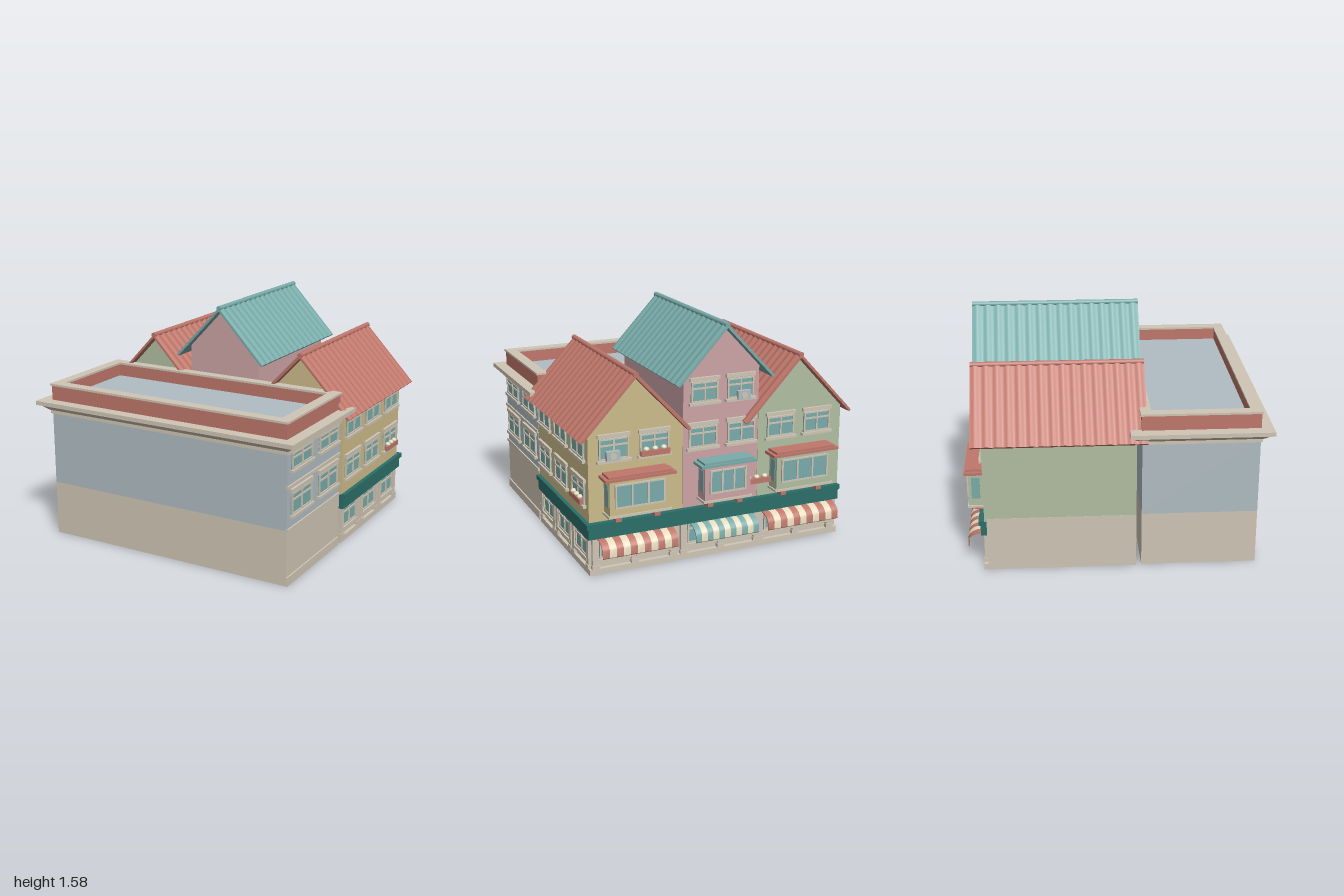
import * as THREE from 'three';
import { toCreasedNormals } from 'three/addons/utils/BufferGeometryUtils.js';

const mat = (name, color) => Object.assign(new THREE.MeshStandardMaterial({ color }), { name });
const M = {
  stone: mat('stone', 0xcfc6b5), blue: mat('blueWall', 0xb0bdc3), yellow: mat('yellowWall', 0xcdbc8a),
  pink: mat('pinkWall', 0xcda4a6), green: mat('greenWall', 0xb2bea2), red: mat('red', 0xc0776b),
  teal: mat('teal', 0x79acaa), dark: mat('darkTeal', 0x2b6f69), cream: mat('cream', 0xe6dcc0),
};

function add(parent, name, geo, material, x = 0, y = 0, z = 0) {
  const m = new THREE.Mesh(geo, material);
  m.name = name;
  m.position.set(x, y, z);
  parent.add(m);
  return m;
}
// Box given by its two extreme corners
function box(parent, name, material, x0, x1, y0, y1, z0, z1) {
  return add(parent, name, new THREE.BoxGeometry(x1 - x0, y1 - y0, z1 - z0), material,
    (x0 + x1) / 2, (y0 + y1) / 2, (z0 + z1) / 2);
}
function group(parent, name, x = 0, y = 0, z = 0) {
  const g = new THREE.Group();
  g.name = name;
  g.position.set(x, y, z);
  parent.add(g);
  return g;
}
const polygon = (points) => new THREE.Shape(points.map((p) => new THREE.Vector2(...p)));
const extrude = (shape, depth) => new THREE.ExtrudeGeometry(shape, { depth, bevelEnabled: false });

// Double sash window standing on a wall that faces local +z
function windowUnit(parent, x, y0, w, h, lintel = true) {
  const g = group(parent, 'window', x, y0), a = w / 2, t = 0.0055;
  box(g, 'glass', M.teal, -a, a, 0, h, 0, 0.006);
  for (const bx of [-a + t, 0, a - t]) box(g, 'frameBar', M.stone, bx - t, bx + t, 0, h, 0, 0.014);
  for (const by of [t, h * 0.68, h - t]) box(g, 'frameRail', M.stone, -a, a, by - t, by + t, 0, 0.013);
  box(g, 'sill', M.stone, -a - 0.015, a + 0.015, -0.018, 0, 0, 0.024);
  if (lintel) box(g, 'lintel', M.stone, -a - 0.01, a + 0.01, h + 0.006, h + 0.03, 0, 0.018);
}

function flowerBox(parent, x, y) {
  const g = group(parent, 'flowerBox', x, y);
  box(g, 'planter', M.red, -0.1, 0.1, -0.012, 0.022, 0, 0.035);
  for (const fx of [-0.06, 0, 0.06])
    add(g, 'flowers', new THREE.SphereGeometry(0.02, 10, 8), M.cream, fx, 0.03, 0.018).scale.y = 0.8;
}

function airConditioner(parent, x, y) {
  const g = group(parent, 'airConditioner', x, y);
  box(g, 'casing', M.blue, -0.045, 0.045, 0, 0.06, 0, 0.035);
  const fan = add(g, 'fan', new THREE.CylinderGeometry(0.022, 0.022, 0.006, 16), M.stone, 0, 0.03, 0.036);
  fan.rotation.x = Math.PI / 2;
}

// Projecting bay with glazing, roof slab and brackets
function bay(parent, x, half, wall, roof) {
  const g = group(parent, 'bayWindow', x), inner = half - 0.04;
  box(g, 'bayBody', wall, -half, half, 0.41, 0.66, 0, 0.1);
  box(g, 'bayGlass', M.teal, -inner, inner, 0.47, 0.62, 0.1, 0.105);
  for (const k of [-1, -1 / 3, 1 / 3, 1])
    box(g, 'bayMullion', M.stone, k * inner - 0.006, k * inner + 0.006, 0.465, 0.625, 0.1, 0.111);
  for (const y of [0.465, 0.615]) box(g, 'bayRail', M.stone, -inner, inner, y, y + 0.011, 0.1, 0.11);
  box(g, 'baySill', M.stone, -half - 0.01, half + 0.01, 0.405, 0.42, 0, 0.108);
  box(g, 'bayEave', roof, -half - 0.035, half + 0.035, 0.65, 0.668, 0, 0.124);
  box(g, 'bayRoof', roof, -half - 0.01, half + 0.01, 0.668, 0.682, 0, 0.115);
  for (const s of [-1, 1]) {
    box(g, 'baySideGlass', M.teal, s * half - 0.004, s * half + 0.004, 0.47, 0.62, 0.025, 0.08);
    box(g, 'bracket', M.red, s * half * 0.65 - 0.02, s * half * 0.65 + 0.02, 0.362, 0.408, 0, 0.07);
  }
}

// Striped curved awning with a hanging valance
function awning(parent, x, width, color) {
  const g = group(parent, 'awning', x), top = [], n = 11, w = width / n;
  for (let a = 0; a < 1.4; a += 0.17) top.push([0.015 + 0.1 * Math.sin(a), 0.185 + 0.065 * Math.cos(a)]);
  top.push([0.115, 0.15]);
  const under = top.map(([px, py]) => [px - 0.005, py - 0.006]).reverse();
  const geo = toCreasedNormals(extrude(polygon([...top, ...under]), w), 0.6);
  for (let i = 0; i < n; i++)
    add(g, 'awningStripe', geo, i % 2 ? M.cream : color, w * (i + 1) - width / 2).rotation.y = -Math.PI / 2;
}

// Corrugated gable roof: wavy slabs run from the ridge to the eaves
const SLOPE = 1.06, L = Math.hypot(1, SLOPE), Z0 = -0.945, Z1 = 0.19;
function gableRoof(parent, c, apex, half, color) {
  const g = group(parent, 'roof'), len = Z1 - Z0, mid = (Z0 + Z1) / 2, waves = 16, steps = waves * 6;
  const pts = [[-len / 2, 0], [len / 2, 0]];
  for (let i = 0; i <= steps; i++)
    pts.push([len / 2 - (len * i) / steps, 0.02 - 0.005 * Math.cos((i / steps) * waves * 2 * Math.PI)]);
  const geo = toCreasedNormals(extrude(polygon(pts), half * L - 0.005), 0.8);
  for (const s of [-1, 1]) {
    const down = new THREE.Vector3(s / L, -SLOPE / L, 0), normal = new THREE.Vector3((s * SLOPE) / L, 1 / L, 0);
    const along = new THREE.Vector3().crossVectors(normal, down);
    add(g, 'roofSlope', geo, color, c, apex - 0.035, mid)
      .quaternion.setFromRotationMatrix(new THREE.Matrix4().makeBasis(along, normal, down));
  }
  const ridge = add(g, 'ridgeRoll', new THREE.CylinderGeometry(0.018, 0.018, len, 12), color, c, apex - 0.016, mid);
  ridge.rotation.x = Math.PI / 2;
}

function house(parent, name, x0, x1, c, apex, roofHalf, wall, roofColor) {
  const g = group(parent, name), top = (x) => apex - 0.032 - SLOPE * Math.abs(x - c);
  const gable = polygon([[x0, 0.355], [x1, 0.355], [x1, top(x1)], [c, top(c)], [x0, top(x0)]]);
  add(g, 'houseWalls', extrude(gable, 0.995), wall, 0, 0, -0.875);
  gableRoof(g, c, apex, roofHalf, roofColor);
}

// Cornice underside: a slab whose lower rim is drawn in
function flaredSlab(parent, name, material, inset, ...corners) {
  const { geometry } = box(parent, name, material, ...corners), p = geometry.attributes.position;
  for (let i = 0; i < p.count; i++)
    if (p.getY(i) < 0) {
      p.setX(i, p.getX(i) - Math.sign(p.getX(i)) * inset);
      p.setZ(i, p.getZ(i) - Math.sign(p.getZ(i)) * inset);
    }
  geometry.computeVertexNormals();
}

// Rectangular parapet course, widened on both faces by o
function parapetRing(parent, name, m, o, y0, y1) {
  const a = -0.9 - o, b = 0.895 + o;
  box(parent, name, m, a, b, y0, y1, 0.86 - o, 0.92 + o);
  box(parent, name, m, a, b, y0, y1, 0.15 - o, 0.205 + o);
  box(parent, name, m, a, -0.845 + o, y0, y1, 0.2, 0.865);
  box(parent, name, m, 0.835 - o, b, y0, y1, 0.2, 0.865);
}

function pillar(f, x) {
  box(f, 'pillar', M.stone, x - 0.02, x + 0.02, 0.04, 0.25, 0, 0.022);
  box(f, 'pillarFoot', M.stone, x - 0.025, x + 0.025, 0.04, 0.065, 0, 0.026);
}

export function createModel() {
  const model = new THREE.Group();
  model.name = 'townBuilding';

  // Flat-roofed block
  const block = group(model, 'flatRoofBlock');
  box(block, 'blockBase', M.stone, -0.9, 0.9, 0, 0.375, 0.155, 0.92);
  box(block, 'blockWalls', M.blue, -0.9, 0.9, 0.375, 0.9, 0.155, 0.92);
  box(block, 'corniceBand', M.stone, -0.91, 0.91, 0.875, 0.9, 0.145, 0.93);
  flaredSlab(block, 'corniceFlare', M.stone, 0.05, -0.965, 0.96, 0.9, 0.942, 0.085, 0.985);
  box(block, 'cornice', M.stone, -0.98, 0.975, 0.942, 0.97, 0.075, 1);
  box(block, 'flatRoof', M.blue, -0.86, 0.85, 0.965, 0.985, 0.18, 0.88);
  parapetRing(block, 'parapet', M.red, 0, 0.965, 1.07);
  parapetRing(block, 'parapetCap', M.stone, 0.008, 1.07, 1.084);
  for (const [y0, y1] of [[0, 0.06], [0.365, 0.385], [0.65, 0.67]])
    box(block, 'sideBand', M.stone, 0.89, 0.91, y0, y1, 0.158, 0.922);

  // Three gabled houses
  house(model, 'yellowHouse', 0.262, 0.908, 0.608, 1.32, 0.365, M.yellow, M.red);
  house(model, 'pinkHouse', -0.28, 0.26, -0.015, 1.575, 0.335, M.pink, M.teal);
  house(model, 'greenHouse', -0.91, -0.282, -0.553, 1.33, 0.388, M.green, M.red);

  // Shop storey shared by the houses
  const shop = group(model, 'shopStorey');
  box(shop, 'shopCore', M.stone, -0.911, 0.89, 0, 0.375, -0.86, 0.12);
  box(shop, 'plinth', M.stone, -0.91, 0.912, 0, 0.04, -0.888, 0.119);
  box(shop, 'fascia', M.dark, -0.905, 0.922, 0.25, 0.33, -0.9, 0.118);
  box(shop, 'fasciaLip', M.dark, -0.909, 0.935, 0.325, 0.357, -0.912, 0.117);

  // Facades in local frames: x along the wall, z outward
  const facade = (name, x, z, turn) => {
    const g = group(model, name, x, 0, z);
    g.rotation.y = turn;
    return g;
  };

  // Side facades: local x is -z
  const side = facade('sideFacade', 0.908, 0, Math.PI / 2);
  const sideShop = facade('sideShopFront', 0.89, 0, Math.PI / 2);
  for (const x of [0.04, 0.37, 0.705]) {
    for (const y of [0.46, 0.76]) windowUnit(side, x, y, 0.235, 0.142);
    windowUnit(sideShop, x, 0.1, 0.225, 0.15, false);
    for (const s of [-1, 1]) pillar(sideShop, x + s * 0.135);
  }
  flowerBox(side, 0.705, 0.47);
  const sideBlock = facade('blockSideFacade', 0.9, 0, Math.PI / 2);
  for (const x of [-0.73, -0.34]) {
    windowUnit(sideBlock, x, 0.465, 0.28, 0.145);
    windowUnit(sideBlock, x, 0.765, 0.28, 0.11, false);
  }

  // Street facade: local x is -x
  const street = facade('streetFacade', 0, -0.875, Math.PI);
  const streetShop = facade('streetShopFront', 0, -0.86, Math.PI);
  const units = [[-0.6, 0.205, 0.52, M.yellow, M.red], [0.015, 0.165, 0.46, M.pink, M.teal], [0.585, 0.21, 0.54, M.green, M.red]];
  for (const [x, half, awningWidth, wall, trim] of units) {
    for (const s of [-1, 1]) {
      windowUnit(street, x + s * 0.138, 0.76, 0.2, 0.14);
      if (wall === M.pink) windowUnit(street, x + s * 0.128, 1.06, 0.19, 0.135);
      windowUnit(streetShop, x + s * 0.13, 0.1, 0.215, 0.15, false);
      pillar(streetShop, x + s * 0.27);
    }
    pillar(streetShop, x);
    bay(street, x, half, wall, trim);
    awning(street, x, awningWidth, trim);
  }
  for (const [x, y] of [[-0.462, 0.77], [0.27, 0.47]]) flowerBox(street, x, y);
  for (const [x, y] of [[-0.75, 0.76], [0.16, 1.05]]) airConditioner(street, x, y);
  return model;
}
